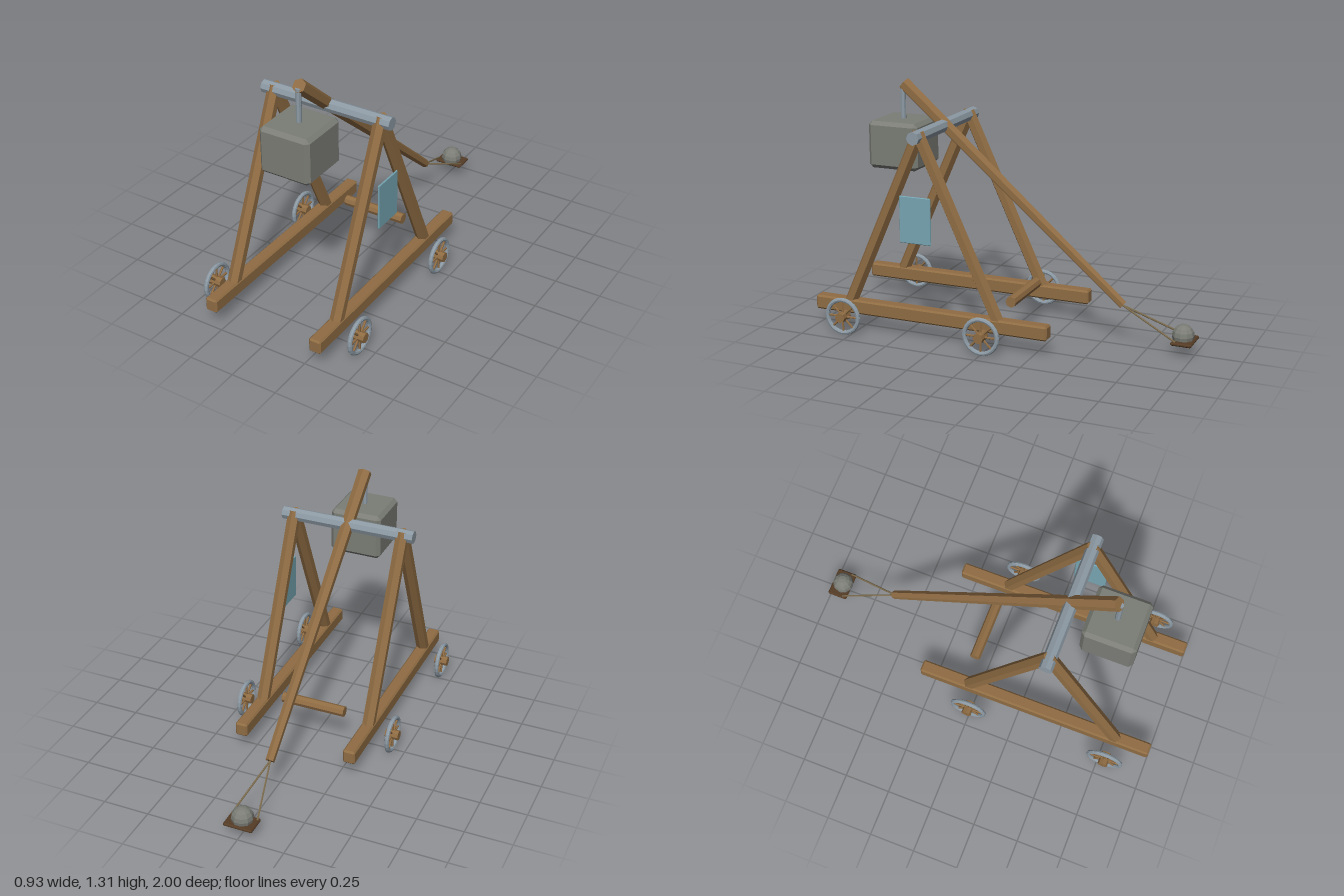
import * as THREE from 'three';
import { ConvexGeometry } from 'three/addons/geometries/ConvexGeometry.js';

const mat = (name, color) => {
  const m = new THREE.MeshStandardMaterial({ color, flatShading: true });
  m.name = name;
  return m;
};

export function createModel() {
  const wood = mat('wood', 0x8f6c43);
  const steel = mat('steel', 0x8c99a3);
  const stone = mat('stone', 0x7b7d76);
  const leather = mat('leather', 0x553c26);
  const rope = mat('rope', 0x7a6a4c);
  const cloth = mat('cloth', 0x76a5b2);

  const model = new THREE.Group();
  model.name = 'siegeEngine';

  const add = (name, geo, material, parent = model) => {
    const mesh = new THREE.Mesh(geo, material);
    mesh.name = name;
    parent.add(mesh);
    return mesh;
  };

  // Straight round bar between two points, r0 at the start and r1 at the end
  const UP = new THREE.Vector3(0, 1, 0);
  const bar = (name, a, b, r0, r1, sides, material, parent = model) => {
    const p = new THREE.Vector3(...a), q = new THREE.Vector3(...b);
    const dir = q.clone().sub(p);
    const mesh = add(name, new THREE.CylinderGeometry(r1, r0, dir.length(), sides), material, parent);
    mesh.position.copy(p).add(q).multiplyScalar(0.5);
    mesh.quaternion.setFromUnitVectors(UP, dir.normalize());
    return mesh;
  };

  // Box with all edges chamfered by c
  const chamferBox = (w, h, d, c) => {
    const pts = [];
    for (const x of [-1, 1]) for (const y of [-1, 1]) for (const z of [-1, 1]) {
      for (let axis = 0; axis < 3; axis++) {
        const inset = [c, c, c];
        inset[axis] = 0;
        pts.push(new THREE.Vector3(x * (w / 2 - inset[0]), y * (h / 2 - inset[1]), z * (d / 2 - inset[2])));
      }
    }
    return new ConvexGeometry(pts);
  };

  // Ground beams and A-frame legs on both sides
  for (const s of [1, -1]) {
    const side = s > 0 ? 'left' : 'right';
    const x = s * 0.308;
    add(side + 'Beam', chamferBox(0.068, 0.077, 1.325, 0.009), wood).position.set(x, 0.127, 0.3375);
    bar(side + 'FrontLeg', [x, 0.12, 0.815], [x, 1.092, 0.385], 0.035, 0.035, 6, wood);
    bar(side + 'BackLeg', [x, 0.12, -0.06], [x, 1.092, 0.39], 0.035, 0.035, 6, wood);
  }

  // Pivot axle and rear crossbar
  bar('pivotAxle', [-0.37, 1.075, 0.39], [0.37, 1.075, 0.39], 0.035, 0.035, 8, steel);
  bar('crossbar', [-0.178, 0.213, -0.063], [0.178, 0.213, -0.063], 0.029, 0.029, 8, wood);

  // Throwing arm, tapering towards the sling
  bar('throwingArm', [0, 0.216, -0.615], [0, 1.282, 0.62], 0.024, 0.037, 6, wood);

  // Counterweight on its hanger
  bar('hanger', [0, 1.07, 0.628], [0, 1.272, 0.628], 0.015, 0.015, 8, steel);
  add('counterweight', chamferBox(0.284, 0.252, 0.284, 0.02), stone).position.set(0, 0.968, 0.628);

  // Sling ropes, pouch and shot
  for (const s of [1, -1]) {
    bar(s > 0 ? 'leftRope' : 'rightRope', [0, 0.215, -0.61], [s * 0.07, 0.08, -0.915], 0.005, 0.005, 6, rope);
  }
  add('pouch', chamferBox(0.158, 0.018, 0.11, 0.006), leather).position.set(0, 0.07, -0.945);
  add('shot', new THREE.SphereGeometry(0.058, 10, 8), stone).position.set(0, 0.098, -0.937);

  // Banner plate on the left side only
  add('banner', chamferBox(0.01, 0.248, 0.176, 0.003), cloth).position.set(0.35, 0.645, 0.393);

  // Spoked wheels
  for (const s of [1, -1]) for (const z of [0.787, -0.005]) {
    const wheel = new THREE.Group();
    wheel.name = (s > 0 ? 'left' : 'right') + (z > 0.4 ? 'Front' : 'Back') + 'Wheel';
    wheel.position.set(s * 0.431, 0.102, z);
    model.add(wheel);
    add('rim', new THREE.TorusGeometry(0.09, 0.012, 8, 24), steel, wheel).rotation.y = Math.PI / 2;
    bar('hub', [-0.036, 0, 0], [0.036, 0, 0], 0.027, 0.027, 8, wood, wheel);
    for (let i = 0; i < 8; i++) {
      const a = (i * Math.PI) / 4;
      bar('spoke', [0, 0, 0], [0, 0.088 * Math.cos(a), 0.088 * Math.sin(a)], 0.006, 0.006, 6, wood, wheel);
    }
  }
  return model;
}
